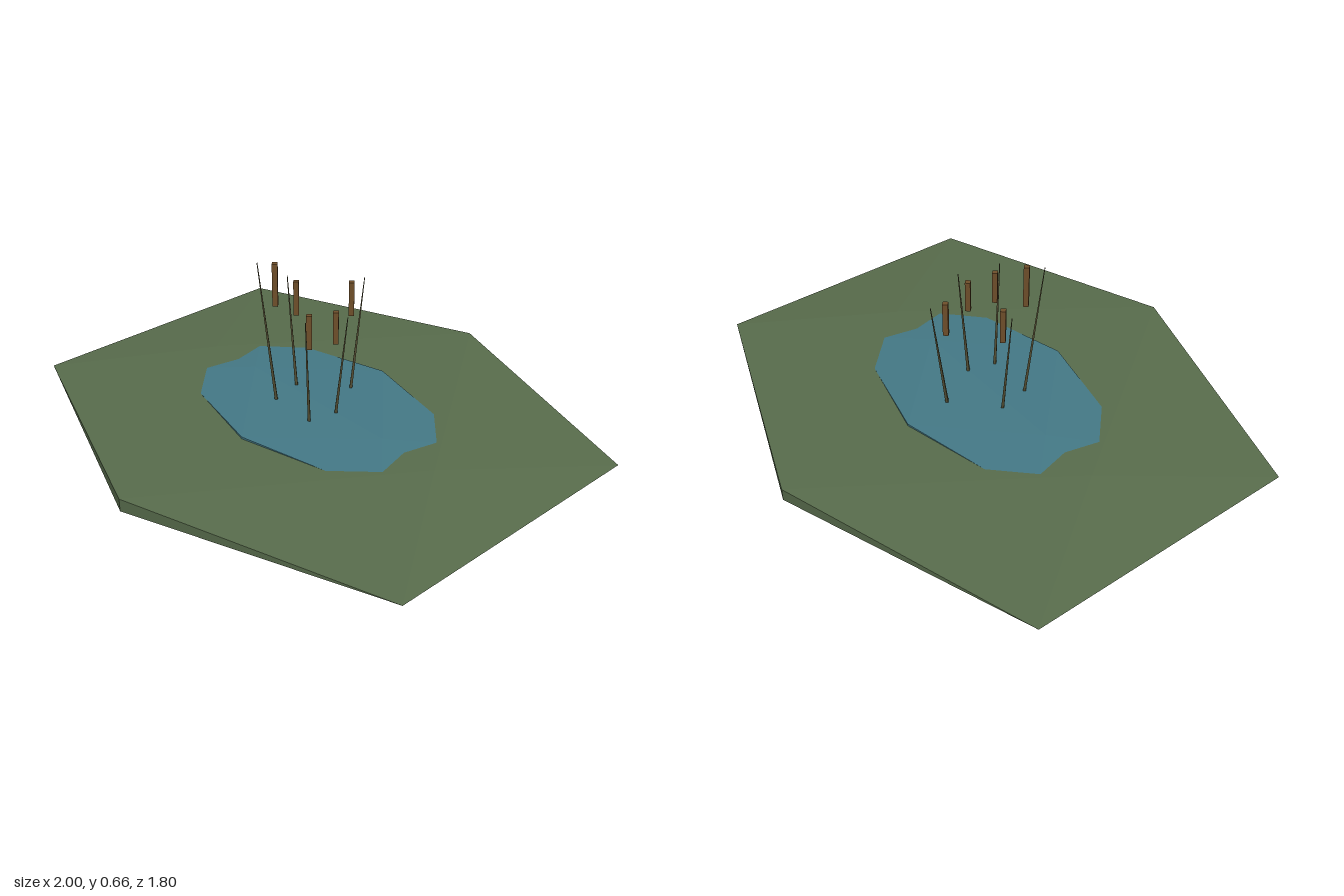
import * as THREE from 'three';

const flat = (name, color) => {
  const m = new THREE.MeshStandardMaterial({ color, flatShading: true });
  m.name = name;
  return m;
};

export function createModel() {
  const grass = flat('grass green', 0x576b4b);
  const blue = flat('water blue', 0x437784);
  const stemMat = flat('stem olive', 0x4f4a30);
  const headMat = flat('cattail brown', 0x6e4e2a);

  const model = new THREE.Group();
  model.name = 'pond';

  const add = (parent, name, geometry, material) => {
    const mesh = new THREE.Mesh(geometry, material);
    mesh.name = name;
    parent.add(mesh);
    return mesh;
  };

  // Squashed icosahedron given by its half extents along x, y and z
  const slab = (x, y, z) => {
    const g = new THREE.IcosahedronGeometry(1, 0);
    const reach = 0.8507;
    return g.scale(x / reach, y / reach, z / reach);
  };

  // Grassy ground, with the water surface poking just through its top
  add(model, 'ground', slab(1, 0.041, 0.9), grass).position.y = 0.041;
  add(model, 'water', slab(0.587, 0.0172, 0.365), blue).position.y = 0.073;

  // Cattails: [x, z, tip x, tip z, tip height, head length]
  const reeds = [
    [0.11, 0, 0.172, 0, 0.513, 0.128],
    [0.085, 0.108, 0.121, 0.158, 0.526, 0.134],
    [-0.112, 0.098, -0.158, 0.143, 0.66, 0.17],
    [-0.14, -0.029, -0.2, -0.037, 0.54, 0.139],
    [0.013, -0.172, 0.019, -0.233, 0.545, 0.138],
  ];
  const up = new THREE.Vector3(0, 1, 0);
  for (const [x, z, tx, tz, top, length] of reeds) {
    const reed = new THREE.Group();
    reed.name = 'cattail';
    model.add(reed);

    // Tapered stem leaning outward
    const base = new THREE.Vector3(x, 0.06, z);
    const tip = new THREE.Vector3(tx, top, tz);
    const dir = tip.clone().sub(base);
    const stem = add(reed, 'stem', new THREE.CylinderGeometry(0.002, 0.008, dir.length(), 4), stemMat);
    stem.position.copy(base).add(tip).multiplyScalar(0.5);
    stem.quaternion.setFromUnitVectors(up, dir.normalize());

    // Upright seed head above the root
    const head = add(reed, 'seedHead', new THREE.CylinderGeometry(0.0145, 0.0145, length, 4), headMat);
    head.position.set(x, top - length / 2, z);
  }
  return model;
}
